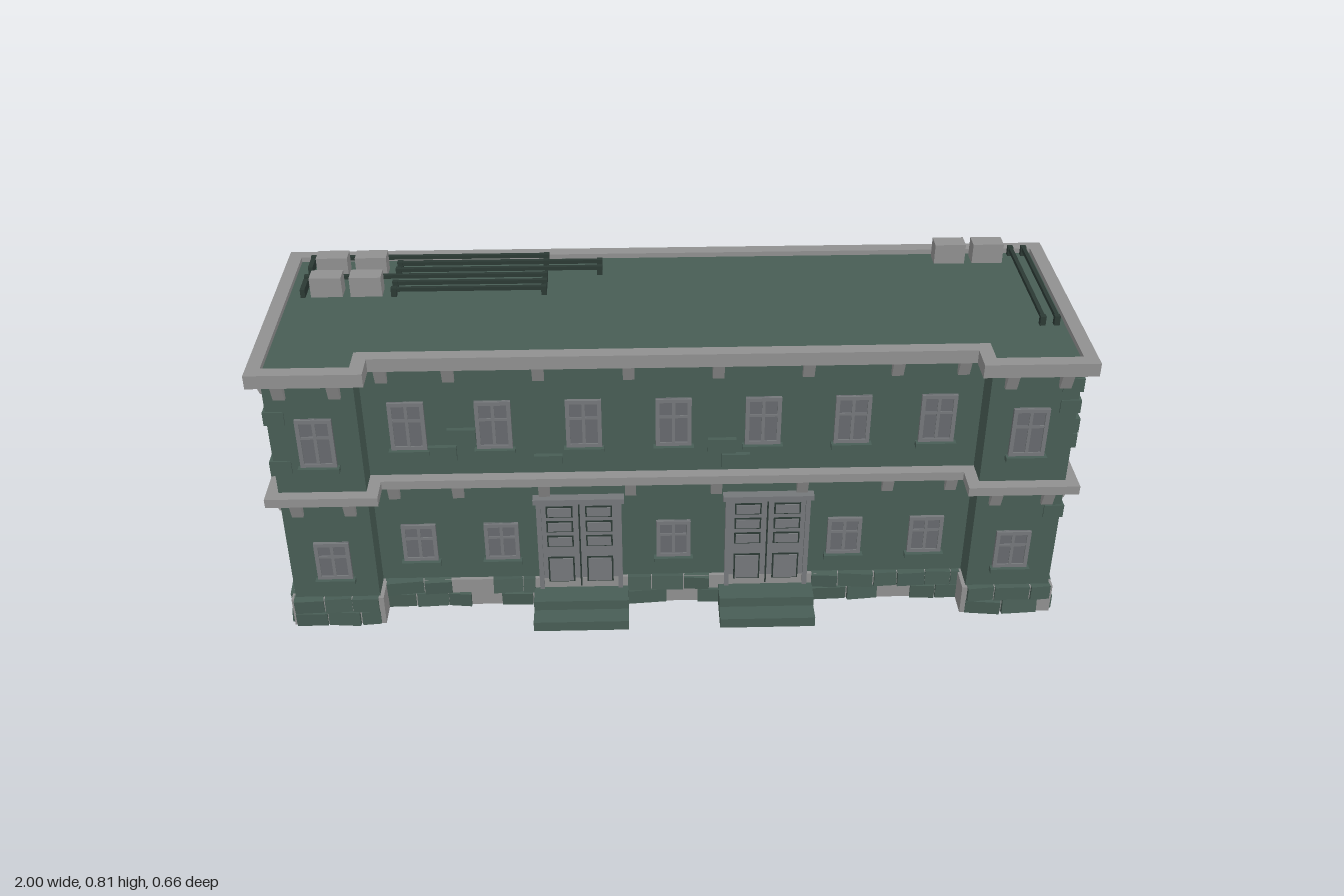
import * as THREE from 'three';

const mat = (name, color, extra = {}) => Object.assign(new THREE.MeshStandardMaterial({ color, ...extra }), { name });
const green = mat('green brick', 0x485d55);
const grey = mat('light stone', 0x909090);
const frameGrey = mat('door and frame grey', 0x74777a);
const glass = mat('window pane', 0x66696d);
const dark = mat('dark metal', 0x2b3934);

// building footprint, widened by o on every side
const HX = 0.97, BACK = -0.3, FRONT = 0.21, WING = 0.28, WX = 0.755;
function footprint(o) {
  const half = [[WX - o, FRONT + o], [WX - o, WING + o], [HX + o, WING + o], [HX + o, BACK - o]];
  const pts = [...half, ...half.map(([x, z]) => [-x, z]).reverse()];
  return pts.map(([x, z]) => new THREE.Vector2(x, -z));
}

export function createModel() {
  const root = new THREE.Group();
  root.name = 'building';
  let seed = 11;
  const rnd = () => (seed = (seed * 16807) % 2147483647) / 2147483647;

  function add(parent, name, geo, material, x = 0, y = 0, z = 0) {
    const m = new THREE.Mesh(geo, material);
    m.name = name;
    m.position.set(x, y, z);
    parent.add(m);
    return m;
  }
  const box = (parent, name, material, w, h, d, x, y, z) =>
    add(parent, name, new THREE.BoxGeometry(w, h, d), material, x, y, z);

  // band following the footprint; without inner it is a full slab
  function band(name, material, outer, inner, y0, y1) {
    const shape = new THREE.Shape(footprint(outer));
    if (inner !== null) shape.holes.push(new THREE.Path(footprint(inner)));
    const geo = new THREE.ExtrudeGeometry(shape, { depth: y1 - y0, bevelEnabled: false });
    geo.rotateX(-Math.PI / 2);
    return add(root, name, geo, material, 0, y0, 0);
  }

  // group on a wall surface, local +z pointing outwards; u is world x or z
  function onWall(name, wall, u, y) {
    const g = new THREE.Group();
    g.name = name;
    if (wall === 'front') g.position.set(u, y, Math.abs(u) > WX ? WING : FRONT);
    if (wall === 'back') { g.position.set(u, y, BACK); g.rotation.y = Math.PI; }
    if (wall === 'left') { g.position.set(HX, y, u); g.rotation.y = Math.PI / 2; }
    if (wall === 'right') { g.position.set(-HX, y, u); g.rotation.y = -Math.PI / 2; }
    root.add(g);
    return g;
  }

  // shell
  band('walls', green, 0, -0.012, 0.05, 0.745);
  band('roof', green, 0.005, null, 0.742, 0.752);
  band('cornice', grey, 0.03, -0.004, 0.73, 0.765);
  band('floorBelt', grey, 0.03, -0.004, 0.39, 0.414);
  band('plinth', grey, 0.01, -0.01, 0.004, 0.086);

  // tapered corbels under both bands
  const wedge = new THREE.ExtrudeGeometry(new THREE.Shape([
    new THREE.Vector2(0, 0), new THREE.Vector2(0.01, 0), new THREE.Vector2(0.026, 0.044), new THREE.Vector2(0, 0.044),
  ]), { depth: 0.028, bevelEnabled: false });
  wedge.translate(0, 0, -0.014).rotateY(-Math.PI / 2);
  const corbelSpots = {
    front: [-0.93, -0.8, -0.7, -0.54, -0.325, -0.108, 0.108, 0.325, 0.54, 0.7, 0.8, 0.93],
    back: [-0.93, -0.72, -0.52, -0.31, -0.1, 0.1, 0.31, 0.52, 0.72, 0.93],
    left: [0.245, 0.075, -0.09, -0.26],
    right: [0.245, 0.075, -0.09, -0.26],
  };
  for (const wall in corbelSpots)
    for (const u of corbelSpots[wall])
      for (const y of [0.346, 0.686])
        add(onWall('corbel', wall, u, y), 'corbelBlock', wedge, grey);

  // windows: pane, frame, cross bars, sill
  function windowAt(x, y, h) {
    const g = onWall('window', 'front', x, y), w = 0.088;
    box(g, 'pane', glass, w, h, 0.006, 0, 0, 0.002);
    for (const s of [-1, 1]) {
      box(g, 'frameSide', frameGrey, 0.01, h, 0.014, s * (w / 2 - 0.005), 0, 0.002);
      box(g, 'frameRail', frameGrey, w, 0.01, 0.014, 0, s * (h / 2 - 0.005), 0.002);
    }
    box(g, 'mullion', frameGrey, 0.008, h, 0.011, 0, 0, 0.002);
    box(g, 'crossBar', frameGrey, w, 0.007, 0.011, 0, h * 0.12, 0.002);
    box(g, 'sill', green, 0.1, 0.013, 0.034, 0, -h / 2 - 0.006, 0.002);
  }
  for (const x of [0, 0.22, 0.44, 0.65, 0.86])
    for (const s of x ? [-1, 1] : [1]) {
      windowAt(s * x, 0.56, 0.135);
      if (x !== 0.22) windowAt(s * x, 0.205, 0.112);
    }

  // double doors with steps
  for (const x of [-0.24, 0.24]) {
    const g = onWall('door', 'front', x, 0);
    box(g, 'doorBack', frameGrey, 0.2, 0.28, 0.014, 0, 0.195, 0.002);
    box(g, 'lintel', frameGrey, 0.23, 0.014, 0.034, 0, 0.338, 0.008);
    for (const s of [-1, 1]) {
      box(g, 'jamb', frameGrey, 0.012, 0.28, 0.026, s * 0.102, 0.195, 0.004);
      for (const [y, h] of [[0.298, 0.026], [0.252, 0.026], [0.206, 0.026], [0.115, 0.072]]) {
        box(g, 'panelGroove', dark, 0.068, h + 0.008, 0.004, s * 0.05, y, 0.009);
        box(g, 'panel', frameGrey, 0.06, h, 0.008, s * 0.05, y, 0.01);
      }
    }
    box(g, 'doorSplit', dark, 0.004, 0.27, 0.003, 0, 0.195, 0.009);
    box(g, 'lowerStep', green, 0.245, 0.028, 0.12, 0, 0.014, 0.06);
    box(g, 'upperStep', green, 0.245, 0.028, 0.07, 0, 0.042, 0.035);
  }

  // proud bricks scattered on the walls
  const bricks = {
    front: [[-0.52, 0.53], [-0.57, 0.48], [-0.31, 0.45], [0.12, 0.49], [0.155, 0.445]],
    back: [[0.89, 0.62], [0.85, 0.57], [0.32, 0.51], [0.28, 0.47], [-0.45, 0.58], [-0.49, 0.54], [-0.44, 0.46],
      [0.5, 0.33], [0.43, 0.28], [-0.28, 0.36], [-0.32, 0.32], [-0.23, 0.27], [-0.72, 0.29], [0.88, 0.26]],
    left: [[0.09, 0.657], [0.123, 0.61], [0.245, 0.573], [0.243, 0.528], [0.16, 0.475], [-0.27, 0.46],
      [0.097, 0.193], [-0.043, 0.16], [-0.2, 0.368]],
    right: [[-0.2, 0.64], [-0.16, 0.6], [0.13, 0.62], [0.02, 0.5], [0.24, 0.48], [-0.02, 0.3], [0.04, 0.26], [0.2, 0.17]],
  };
  for (const wall in bricks)
    for (const [u, y] of bricks[wall])
      box(onWall('brick', wall, u, y), 'brickBlock', green, 0.07, 0.04, 0.024, 0, 0, 0);

  // corner bricks wrapping the back and front outer edges
  for (const s of [-1, 1])
    for (const y of [0.14, 0.2, 0.28, 0.32, 0.49, 0.56, 0.63, 0.69]) {
      box(root, 'cornerBrick', green, 0.05, 0.036, 0.05, s * (HX - 0.018), y, BACK + 0.013);
      if (rnd() > 0.5) box(root, 'cornerBrick', green, 0.05, 0.036, 0.04, s * (HX - 0.018), y, WING - 0.016);
    }

  // rough plinth stones: two courses of tilted blocks
  function stones(wall, from, to) {
    for (let row = 0; row < 2; row++)
      for (let u = from; u < to - 0.02;) {
        const w = Math.min(0.06 + rnd() * 0.045, to - u);
        if (rnd() < 0.76) {
          const b = box(onWall('plinthStone', wall, u + w / 2, 0.024 + row * 0.042), 'stone', green,
            w * 0.96, 0.041, 0.026, 0, 0, 0.001 + rnd() * 0.004);
          b.rotation.set((rnd() - 0.5) * 0.3, (rnd() - 0.5) * 0.22, 0);
        }
        u += w;
      }
  }
  stones('front', -0.75, -0.36);
  stones('front', -0.12, 0.12);
  stones('front', 0.36, 0.75);
  stones('front', -0.975, -0.757);
  stones('front', 0.757, 0.975);
  stones('back', -0.975, 0.975);
  stones('left', BACK, WING);
  stones('right', BACK, WING);

  // roof ventilation boxes
  for (const [x, z] of [[-0.87, -0.23], [-0.77, -0.23], [-0.87, -0.12], [-0.77, -0.12], [0.74, -0.262], [0.84, -0.262]])
    box(root, 'ventBox', grey, 0.08, 0.055, 0.046, x, 0.778, z);

  // roof pipes with end stubs
  const pipes = [[-0.93, -0.32, -0.28], [-0.7, -0.32, -0.245], [-0.7, -0.18, -0.243], [-0.7, -0.18, -0.207],
    [-0.93, -0.32, -0.172], [-0.7, -0.32, -0.135], [-0.7, -0.32, -0.1]];
  for (const [x0, x1, z] of pipes) {
    box(root, 'roofPipe', dark, x1 - x0, 0.01, 0.01, (x0 + x1) / 2, 0.771, z);
    for (const x of [x0, x1]) box(root, 'pipeStub', dark, 0.014, 0.026, 0.014, x, 0.764, z);
  }
  for (const x of [0.91, 0.945]) {
    box(root, 'roofPipe', dark, 0.01, 0.01, 0.38, x, 0.771, -0.095);
    for (const z of [-0.285, 0.095]) box(root, 'pipeStub', dark, 0.014, 0.026, 0.014, x, 0.764, z);
  }
  for (const z of [-0.25, -0.125]) box(root, 'pipeBracket', dark, 0.012, 0.024, 0.06, -0.93, 0.763, z);

  return root;
}
